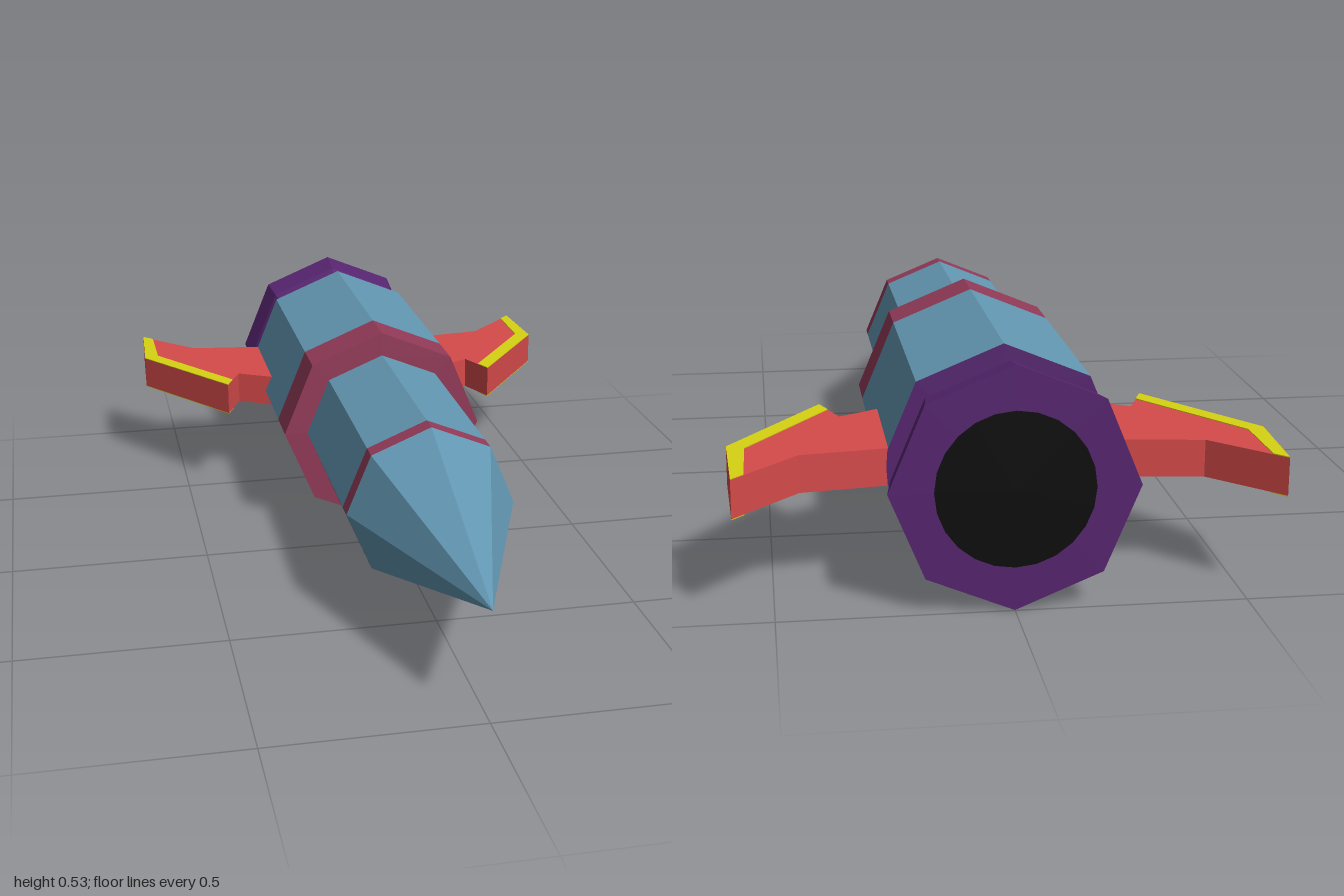
import * as THREE from 'three';

const material = (name, color) => {
  const m = new THREE.MeshStandardMaterial({ color, flatShading: true });
  m.name = name;
  return m;
};

export function createModel() {
  const slate = material('slate blue', 0x6297b2);
  const blue = material('deep blue', 0x48749f);
  const burgundy = material('burgundy', 0x923a58);
  const purple = material('purple', 0x56246f);
  const red = material('red', 0xd64a4a);
  const yellow = material('yellow', 0xd6d212);
  const black = material('black', 0x0a0a0a);

  const rocket = new THREE.Group();
  rocket.name = 'rocket';
  const axisY = 0.267;

  const add = (name, geometry, mat) => {
    const mesh = new THREE.Mesh(geometry, mat);
    mesh.name = name;
    rocket.add(mesh);
  };

  // Open octagonal ring along z; panel 0 starts at the lowest corner
  const ring = (name, mat, zFront, zBack, rFront, rBack, first = 0, count = 8) => {
    const g = new THREE.CylinderGeometry(rFront, rBack, zFront - zBack, count, 1, true,
      first * Math.PI / 4, count * Math.PI / 4);
    g.rotateX(Math.PI / 2);
    g.translate(0, axisY, (zFront + zBack) / 2);
    add(name, g, mat);
  };

  // Hull tube with a deeper blue panel low on each side
  const hull = (name, zFront, zBack, r) => {
    ring(name + 'Upper', slate, zFront, zBack, r, r, 2, 4);
    ring(name + 'Belly', slate, zFront, zBack, r, r, 7, 2);
    for (const panel of [1, 6]) ring(name + 'SidePanel', blue, zFront, zBack, r, r, panel, 1);
  };

  // Nose and forward hull
  ring('noseCone', slate, 1, 0.43, 0, 0.205);
  ring('noseBand', burgundy, 0.43, 0.38, 0.205, 0.205);
  hull('forwardHull', 0.38, -0.151, 0.205);

  // Wider rear hull
  ring('collarFace', burgundy, -0.148, -0.15, 0.204, 0.266);
  ring('collarBand', burgundy, -0.15, -0.275, 0.266, 0.266);
  hull('rearHull', -0.275, -0.82, 0.266);
  ring('rearBulkhead', purple, -0.82, -0.822, 0.266, 0.19);

  // Engine bell
  ring('engineBell', purple, -0.82, -0.91, 0.2, 0.252);
  ring('engineRim', purple, -0.91, -0.998, 0.252, 0.266);
  ring('engineRear', purple, -0.998, -0.999, 0.266, 0.16);
  const exhaust = new THREE.CircleGeometry(0.17, 24);
  exhaust.rotateY(Math.PI);
  exhaust.translate(0, axisY, -1);
  add('exhaust', exhaust, black);

  // Flat plate from an outline of [x, z] points, mirrored by side
  const plate = (name, mat, outline, side, y, thickness) => {
    const shape = new THREE.Shape(outline.map(([x, z]) => new THREE.Vector2(side * x, -z)));
    const g = new THREE.ExtrudeGeometry(shape, { depth: thickness, bevelEnabled: false });
    g.rotateX(-Math.PI / 2);
    g.translate(0, y, 0);
    add(name, g, mat);
  };

  const finOutline = [[0.2, -0.815], [0.25, -0.82], [0.44, -0.845], [0.582, -0.99],
    [0.592, -0.77], [0.38, -0.47], [0.338, -0.57], [0.25, -0.52], [0.2, -0.5]];
  const trimOutline = [[0.582, -0.99], [0.592, -0.77], [0.38, -0.47], [0.362, -0.513],
    [0.553, -0.785], [0.555, -0.962]];

  // Swept fins with a painted leading edge above and below
  for (const [label, side] of [['left', 1], ['right', -1]]) {
    plate(label + 'Fin', red, finOutline, side, 0.226, 0.084);
    plate(label + 'FinTrimTop', yellow, trimOutline, side, 0.31, 0.002);
    plate(label + 'FinTrimBottom', yellow, trimOutline, side, 0.224, 0.002);
  }

  return rocket;
}
